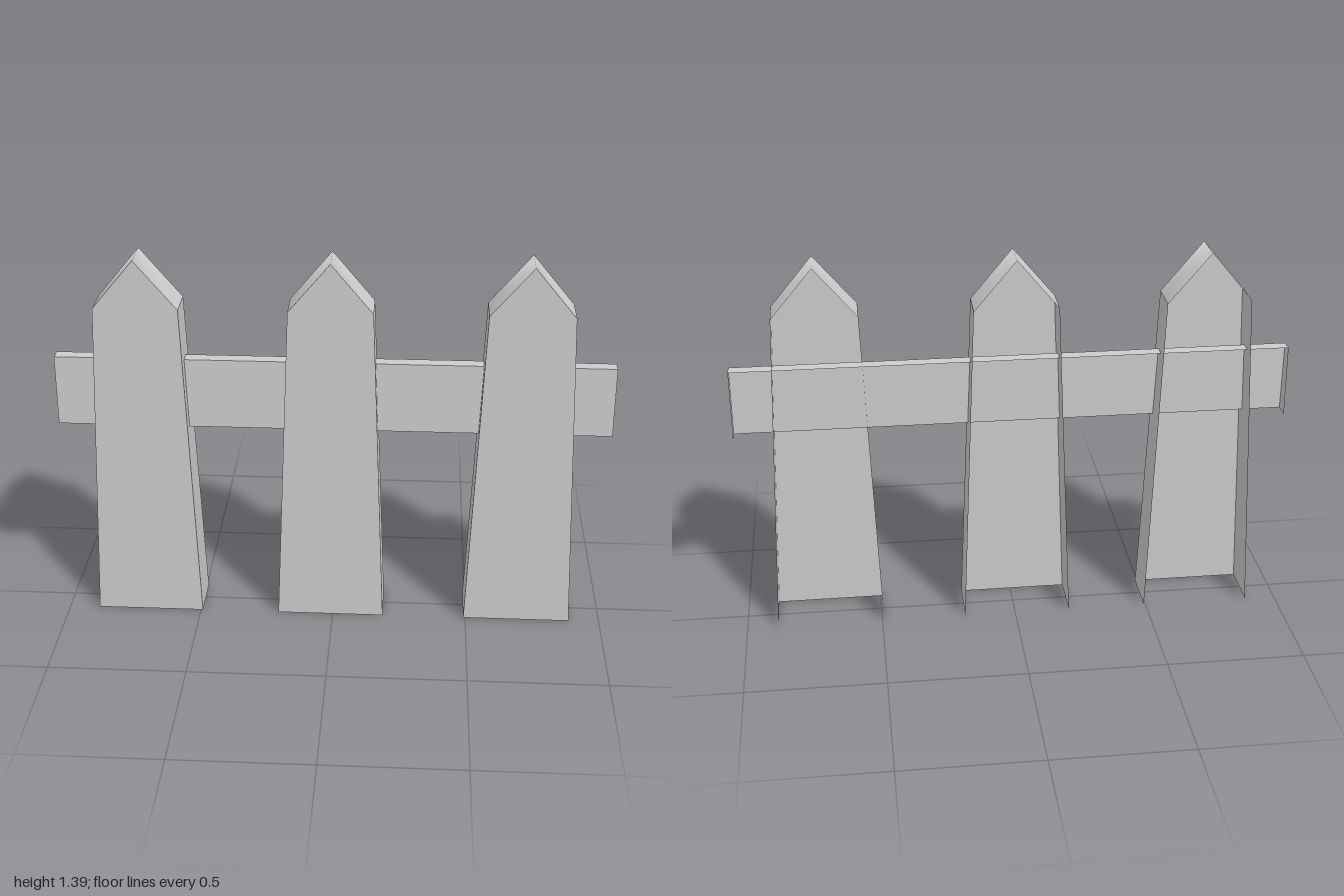
import * as THREE from 'three';

const material = new THREE.MeshStandardMaterial({ color: 0xcccccc, side: THREE.DoubleSide });

// Shell open at the back and underneath. The outline [x, y, halfDepth] runs
// counterclockwise seen from the front; each run of outline indices becomes
// one smooth wall strip reaching from the front to the back.
function openShell(outline, runs) {
  const positions = [];
  const indices = [];
  const n = outline.length;

  // front panel, stitched between its two sides
  outline.forEach(([x, y, d]) => positions.push(x, y, d));
  for (let i = 0; i + 1 < n - 1 - i; i++) {
    const j = n - 1 - i;
    indices.push(i, i + 1, j);
    if (j - 1 > i + 1) indices.push(i + 1, j - 1, j);
  }

  // walls
  for (const run of runs) {
    const start = positions.length / 3;
    for (const k of run) {
      const [x, y, d] = outline[k];
      positions.push(x, y, d, x, y, -d);
    }
    for (let i = 0; i < run.length - 1; i++) {
      const a = start + i * 2;
      indices.push(a, a + 1, a + 3, a, a + 3, a + 2);
    }
  }

  const geometry = new THREE.BufferGeometry();
  geometry.setAttribute('position', new THREE.Float32BufferAttribute(positions, 3));
  geometry.setIndex(indices);
  geometry.computeVertexNormals();
  return geometry;
}

export function createModel() {
  const fence = new THREE.Group();
  fence.name = 'picketFence';

  // tapered pickets with pointed tops
  const picketGeometry = openShell(
    [[0.197, 0, 0.09], [0.15, 1.21, 0.068], [0, 1.39, 0.068], [-0.15, 1.21, 0.068], [-0.197, 0, 0.09]],
    [[0, 1], [1, 2, 3], [3, 4]]
  );
  const places = { rightPicket: -0.69, middlePicket: -0.008, leftPicket: 0.69 };
  for (const [name, x] of Object.entries(places)) {
    const picket = new THREE.Mesh(picketGeometry, material);
    picket.name = name;
    picket.position.x = x;
    fence.add(picket);
  }

  // crossing rail, slightly thicker at its lower edge
  const rail = new THREE.Mesh(
    openShell(
      [[1, 0.745, 0.03], [1, 1.005, 0.024], [-1, 1.005, 0.024], [-1, 0.745, 0.03]],
      [[0, 1], [1, 2], [2, 3]]
    ),
    material
  );
  rail.name = 'rail';
  fence.add(rail);

  return fence;
}
